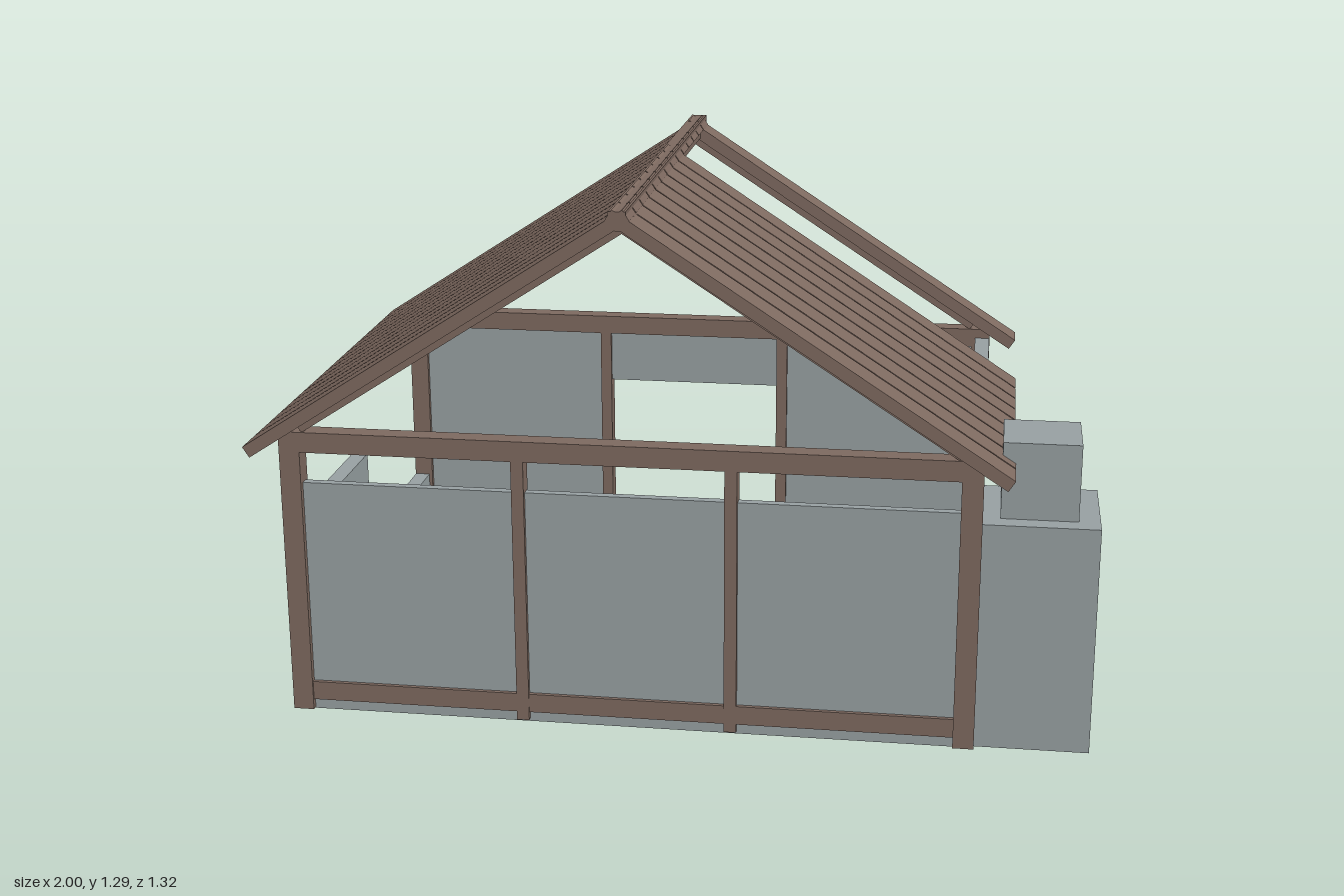
import * as THREE from 'three';

const mat = (name, color) => {
  const m = new THREE.MeshStandardMaterial({ color });
  m.name = name;
  return m;
};

export function createModel() {
  const house = new THREE.Group();
  house.name = 'ruinedHouse';
  const plaster = mat('greyPlaster', 0x98a1a3);
  const timber = mat('brownTimber', 0x7e6a60);
  const shutterWood = mat('goldenWood', 0x94703f);

  // Box given by its lower and upper limits on each axis
  const box = (name, m, x0, x1, y0, y1, z0, z1, parent = house) => {
    const mesh = new THREE.Mesh(new THREE.BoxGeometry(x1 - x0, y1 - y0, z1 - z0), m);
    mesh.position.set((x0 + x1) / 2, (y0 + y1) / 2, (z0 + z1) / 2);
    mesh.name = name;
    parent.add(mesh);
    return mesh;
  };

  const L = -0.93, R = 0.73, Z = 0.605, post = 0.05;
  const mids = [-0.355, 0.15];

  // Floor slab
  box('floor', plaster, L + 0.005, R - 0.005, 0, 0.03, -0.585, 0.585);

  // Timber frame on the front and back
  for (const s of [1, -1]) {
    const frame = new THREE.Group();
    frame.name = s > 0 ? 'frontFrame' : 'backFrame';
    house.add(frame);
    const span = (a, b) => (s > 0 ? [a, b] : [-b, -a]);
    const deep = span(Z - post, Z);
    const shallow = span(Z - 0.045, Z - 0.005);
    box('cornerPost', timber, L, L + post, 0.005, 0.69, ...deep, frame);
    box('cornerPost', timber, R - post, R, 0.005, 0.69, ...deep, frame);
    box('topBeam', timber, L, R, 0.67, 0.72, ...deep, frame);
    box('sillBeam', timber, L + post, R - post, 0.03, 0.077, ...shallow, frame);
    for (const x of mids)
      box('middlePost', timber, x - 0.015, x + 0.015, 0.01, 0.67, ...span(Z - 0.047, Z - 0.002), frame);
  }

  // Front wall, stopping short of the beam
  box('frontWall', plaster, L + 0.045, R - 0.045, 0.002, 0.59, 0.568, 0.59);

  // Back wall with a doorway between the middle posts
  box('backWall', plaster, L + 0.045, mids[0], 0.002, 0.68, -0.59, -0.568);
  box('backWall', plaster, mids[1], R - 0.045, 0.002, 0.68, -0.59, -0.568);
  box('doorLintel', plaster, mids[0], mids[1], 0.53, 0.68, -0.59, -0.568);

  // Side walls, the left one broken down in a step
  box('rightWall', plaster, R - 0.04, R - 0.001, 0.001, 0.695, -0.555, 0.555);
  const stepped = new THREE.Shape([
    [-0.555, 0.001], [0.555, 0.001], [0.555, 0.48], [0.04, 0.48], [0.04, 0.22], [-0.555, 0.22],
  ].map(([z, y]) => new THREE.Vector2(-z, y)));
  const leftWall = new THREE.Mesh(
    new THREE.ExtrudeGeometry(stepped, { depth: 0.04, bevelEnabled: false }), plaster);
  leftWall.rotation.y = Math.PI / 2;
  leftWall.position.x = L + 0.001;
  leftWall.name = 'leftWall';
  house.add(leftWall);

  // Chimney
  box('chimneyBase', plaster, R, 1, 0, 0.56, 0.3, 0.577);
  box('chimneyStack', plaster, 0.77, 0.95, 0.56, 0.745, 0.35, 0.53);

  // Roof: sloping boards, some missing on the right slope
  const ridgeX = -0.1, angle = Math.atan(0.65);
  const sloped = (name, side, length, thick, width, drop, z, parent) => {
    const mesh = new THREE.Mesh(new THREE.BoxGeometry(length, thick, width), timber);
    const along = length / 2, down = thick / 2 + drop;
    // measured from the upper end of the slope
    const x = -0.012 + along * Math.cos(angle) - down * Math.sin(angle);
    const y = 1.288 - along * Math.sin(angle) - down * Math.cos(angle);
    mesh.position.set(ridgeX + side * x, y, z);
    mesh.rotation.z = -side * angle;
    mesh.name = name;
    parent.add(mesh);
  };
  const pitch = 0.0925;
  for (const side of [-1, 1]) {
    const slope = new THREE.Group();
    slope.name = side > 0 ? 'rightRoof' : 'leftRoof';
    house.add(slope);
    for (let i = 0; i < 14; i++) {
      if (side > 0 && i >= 9 && i <= 12) continue;
      sloped('roofBoard', side, 1.088, 0.03, pitch - 0.006, 0, 0.66 - (i + 0.5) * pitch, slope);
    }
    for (const z of [-0.58, 0.58]) sloped('rafter', side, 0.97, 0.02, 0.035, 0.03, z, slope);
  }
  box('ridgeBeam', timber, ridgeX - 0.02, ridgeX + 0.02, 1.24, 1.284, -0.66, 0.658);

  // Crooked shutters on the back wall
  for (const [x, tilt] of [[0.565, -0.2], [-0.74, 0.09]]) {
    const shutter = box('shutter', shutterWood, x - 0.088, x + 0.088, 0.34, 0.545, -0.622, -0.588);
    shutter.rotation.z = tilt;
  }

  // Rubble on the floor
  const log = box('fallenBeam', timber, -0.42, -0.34, 0.03, 0.07, 0.27, 0.31);
  log.rotation.y = 0.4;
  const stone = box('fallenStone', plaster, -0.625, -0.575, 0.028, 0.05, -0.02, 0.02);
  stone.rotation.y = 0.6;
  return house;
}
